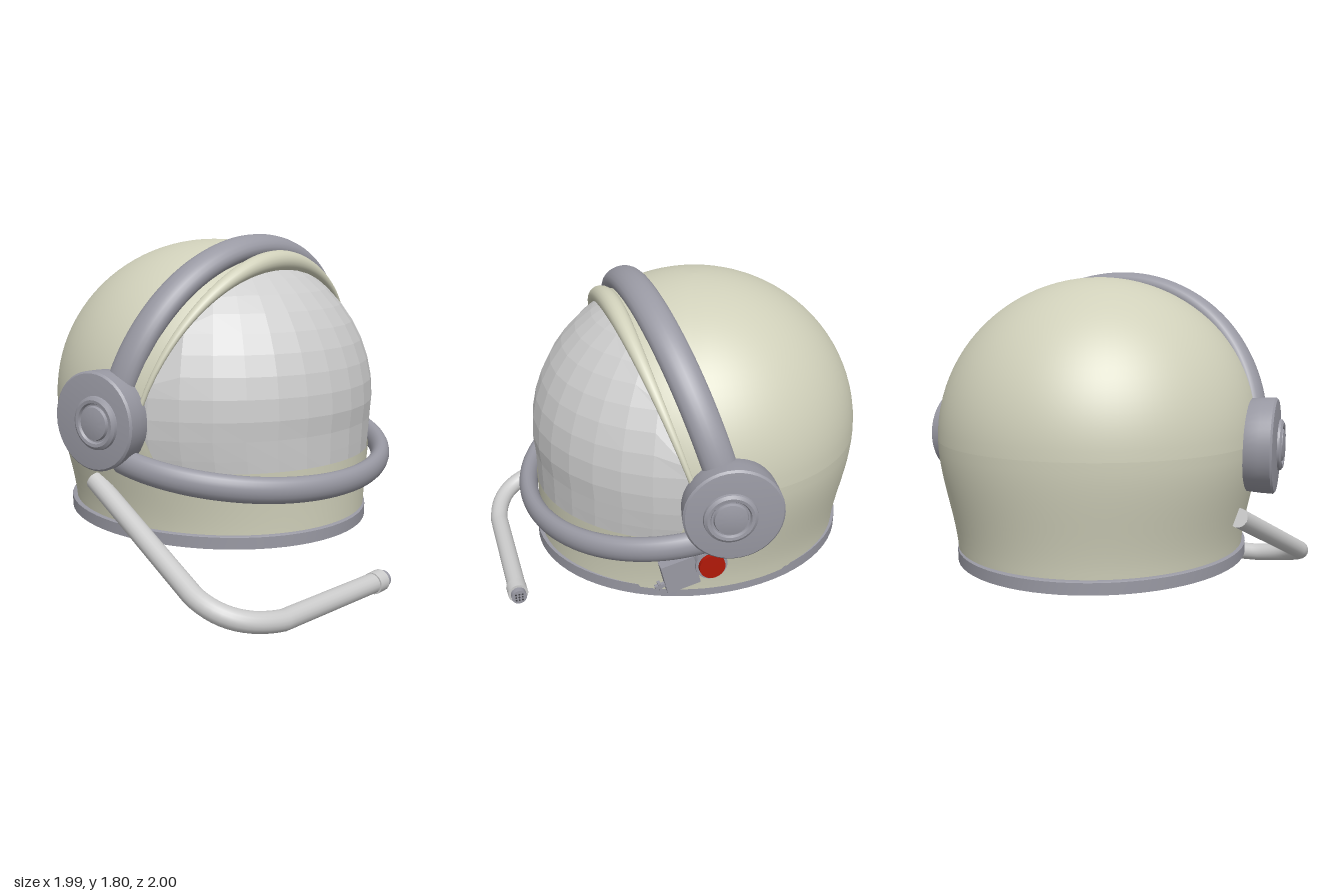
import * as THREE from 'three';
import { toCreasedNormals } from 'three/addons/utils/BufferGeometryUtils.js';

const mat = (color, extra = {}) => new THREE.MeshStandardMaterial({ color, ...extra });
const cream = mat(0xd0d0ba, { side: THREE.DoubleSide });
const grey = mat(0x9999a3);
const dark = mat(0x444448);
const pale = mat(0xcccccc);
const glass = mat(0xcccccc, { flatShading: true, side: THREE.DoubleSide });
const red = mat(0xb01808);

const V = (x, y, z) => new THREE.Vector3(x, y, z);
const lerp = THREE.MathUtils.lerp, smooth = THREE.MathUtils.smoothstep;

function add(parent, name, geometry, material, pos = [0, 0, 0], rot = [0, 0, 0]) {
  const mesh = new THREE.Mesh(geometry, material);
  mesh.name = name;
  mesh.position.set(...pos);
  mesh.rotation.set(...rot);
  parent.add(mesh);
  return mesh;
}

// Surface from rows of points fn(u, v); closed joins the last column to the first
function grid(nu, nv, fn, closed) {
  const cols = closed ? nu : nu + 1, pos = [], idx = [];
  for (let j = 0; j <= nv; j++)
    for (let i = 0; i < cols; i++) pos.push(...fn(i / nu, j / nv));
  for (let j = 0; j < nv; j++)
    for (let i = 0; i < nu; i++) {
      const a = j * cols + i, b = j * cols + (i + 1) % cols;
      idx.push(a, b, a + cols, b, b + cols, a + cols);
    }
  const g = new THREE.BufferGeometry();
  g.setAttribute('position', new THREE.Float32BufferAttribute(pos, 3));
  g.setIndex(idx);
  g.computeVertexNormals();
  return g;
}

// Oval bar along path(t): half sizes radial(t) in the bend and wide(t) along the axis
function bar(path, axis, radial, wide) {
  return grid(20, 64, (u, v) => {
    const tangent = path(v + 0.002).sub(path(v - 0.002)).normalize();
    const out = axis.clone().cross(tangent).normalize(), a = u * Math.PI * 2;
    return path(v).addScaledVector(out, radial(v) * Math.cos(a))
      .addScaledVector(axis, wide(v) * Math.sin(a)).toArray();
  }, true);
}

// Dome: ellipsoid about (0, Y0, Z0), cut at the front by a leaning rim plane
const Y0 = 0.93, Z0 = -0.12, RX = 0.855, RY = 0.84, RZ = 0.88;
const dome = (phi, e, rx = RX, ry = RY, rz = RZ) =>
  [rx * Math.sin(phi) * Math.cos(e), Y0 + ry * Math.sin(e), Z0 + rz * Math.cos(phi) * Math.cos(e)];

// Wall below the dome, narrowing to the neck
function wall(phi, y, inset = 0) {
  const t = smooth(y, 0.3, Y0);
  return [(lerp(0.755, RX, t) - inset) * Math.sin(phi), y,
    lerp(-0.09, Z0, t) + (lerp(0.84, RZ, t) - inset) * Math.cos(phi)];
}

// Elevation at which the column at azimuth phi meets the rim plane
function rimAngle(phi) {
  const c = RZ * Math.cos(phi);
  if (c < 0.26) return 0;
  return Math.max(0, Math.acos(0.26 / Math.hypot(c, 0.27)) - Math.atan2(0.27, c));
}

function buildShell(g) {
  add(g, 'shellDome', grid(96, 24, (u, v) => {
    const phi = (u * 2 - 1) * Math.PI;
    return dome(phi, lerp(rimAngle(phi), Math.PI / 2, v));
  }, true), cream);

  // Collar: high at the back, low under the visor
  add(g, 'shellCollar', grid(96, 12, (u, v) => {
    const phi = (u * 2 - 1) * Math.PI;
    const top = lerp(Y0, 0.675, smooth(Math.cos(phi), 0.28, 0.4));
    return wall(phi, lerp(0.34, top, v));
  }, true), cream);

  // Rolled lip on the visor opening, thick at the brow and thin at the sides
  const swell = t => Math.sin(THREE.MathUtils.clamp(t, 0, 1) * Math.PI);
  add(g, 'shellLip', bar(t => {
    const phi = (1 - t * 2) * 1.25, p = dome(phi, rimAngle(phi)), k = swell(t);
    return V(p[0], p[1] + 0.035 * k, p[2] - 0.03 * k);
  }, V(0, -0.3, 0.954), t => 0.012 + 0.042 * swell(t) ** 1.5, t => 0.012 + 0.042 * swell(t)), cream);

  // Neck ring, open in the middle
  const profile = [[0.95, 0.36], [0.8, 0.36], [0.79, 0.335], [0.84, 0.31], [0.9, 0.295],
    [1, 0.295], [1, 0.355], [0.99, 0.36], [0.95, 0.36]]
    .map(p => new THREE.Vector2(...p)).reverse();
  const ring = toCreasedNormals(new THREE.LatheGeometry(profile, 72), 0.7);
  ring.scale(0.765, 1, 0.865);
  add(g, 'neckRing', ring, mat(0x9999a3, { side: THREE.DoubleSide }), [-0.012, 0, -0.095]);
}

// Faceted visor tucked under the lip
function buildVisor(g) {
  const rows = 11, lower = 3;
  add(g, 'visor', grid(15, rows, (u, v) => {
    const phi = (u * 2 - 1) * 1.4, j = Math.round(v * rows);
    if (j < lower) return wall(phi, lerp(0.64, Y0, j / lower), 0.004);
    const e = (j - lower) / (rows - lower) * 1.04;
    return dome(phi, Math.min(e, rimAngle(phi) + 0.04), 0.848, 0.825, 0.885);
  }, false), glass);
}

// Flattened bars over the brow and across the chin
function buildBars(g) {
  add(g, 'browBar', bar(t => {
    const a = lerp(0.1, Math.PI - 0.1, t), y = Y0 + 0.808 * Math.sin(a);
    return V(0.83 * Math.cos(a), y, 0.035 + 0.275 * (y - 1.1));
  }, V(0, -0.265, 0.964), () => 0.06, () => 0.086), grey);
  add(g, 'chinBar', bar(t => {
    const a = Math.PI * (1 - t), z = 0.05 + 0.756 * Math.sin(a);
    return V(0.845 * Math.cos(a), 0.72 - 0.178 * (z - 0.05), z);
  }, V(0, 0.984, 0.175), () => 0.05, () => 0.067), grey);
}

// Ear pods with a ringed knob
function buildEar(g, side) {
  const ear = new THREE.Group();
  ear.name = side > 0 ? 'leftEar' : 'rightEar';
  ear.position.set(side * 0.86, side > 0 ? 0.89 : 0.915, side > 0 ? -0.015 : -0.045);
  ear.rotation.y = side > 0 ? -0.21 : 0.13;
  const lathe = pts => toCreasedNormals(
    new THREE.LatheGeometry(pts.map(p => new THREE.Vector2(...p)), 40), 0.6);
  const out = [0, 0, -side * Math.PI / 2];
  add(ear, 'earPod', lathe([[0, -0.11], [0.19, -0.11], [0.225, -0.09], [0.24, -0.05],
    [0.245, 0.02], [0.247, 0.08], [0.237, 0.09], [0.15, 0.1], [0, 0.1]]), grey, [0, 0, 0], out);
  add(ear, 'earKnob', lathe([[0.135, 0.09], [0.13, 0.112], [0.115, 0.122], [0.1, 0.12],
    [0.093, 0.108], [0.085, 0.108], [0.08, 0.122], [0.05, 0.128], [0, 0.13]]), grey,
  [0, 0, side > 0 ? 0.02 : 0.035], out);
  g.add(ear);
}

// Small control box with a red button on the left side
function buildControl(g) {
  const control = new THREE.Group();
  control.name = 'sideControl';
  control.position.set(0.762, 0.49, 0.215);
  control.rotation.set(0.23, -0.04, 0, 'YXZ');
  add(control, 'controlBox', new THREE.BoxGeometry(0.06, 0.165, 0.175), grey);
  add(control, 'latchStem', new THREE.BoxGeometry(0.02, 0.02, 0.06), grey, [0, -0.04, 0.11]);
  add(control, 'latchTip', new THREE.BoxGeometry(0.03, 0.045, 0.015), grey, [0, -0.04, 0.115]);
  g.add(control);
  const button = new THREE.Group();
  button.name = 'button';
  button.position.set(0.785, 0.535, 0.06);
  button.rotation.y = -0.1;
  const lay = [0, 0, -Math.PI / 2];
  add(button, 'buttonHousing', new THREE.CylinderGeometry(0.082, 0.088, 0.09, 32), grey, [-0.015, 0, 0], lay);
  add(button, 'redButton', new THREE.CylinderGeometry(0.066, 0.068, 0.03, 32), red, [0.035, 0, 0], lay);
  g.add(button);
}

// Small disc on a stalk inside the visor
function buildInnerDisc(g) {
  const inner = new THREE.Group();
  inner.name = 'innerDisc';
  inner.position.set(-0.47, 0.9, 0.32);
  inner.rotation.y = Math.PI * 0.75;
  add(inner, 'disc', new THREE.CylinderGeometry(0.1, 0.1, 0.02, 28), pale, [0, 0, 0], [Math.PI / 2, 0, 0]);
  add(inner, 'discStalk', new THREE.BoxGeometry(0.3, 0.025, 0.02), grey, [0.22, 0, 0]);
  g.add(inner);
}

// Microphone boom from the right side round to the front
function buildMicrophone(g) {
  const start = V(-0.8, 0.56, -0.2), bend = V(-0.935, 0.205, 0.63), turn = V(-0.64, 0.078, 0.92);
  const path = new THREE.CurvePath();
  path.add(new THREE.LineCurve3(start, bend));
  path.add(new THREE.QuadraticBezierCurve3(bend, V(-0.96, 0.12, 0.88), turn));
  path.add(new THREE.LineCurve3(turn, V(0.06, 0.06, 0.937)));
  add(g, 'microphoneBoom', new THREE.TubeGeometry(path, 60, 0.051, 18), pale);
  const cap = add(g, 'boomEnd', new THREE.CircleGeometry(0.051, 18), pale, start.toArray());
  cap.lookAt(start.clone().multiplyScalar(2).sub(bend));
  const lay = [0, 0, -Math.PI / 2];
  add(g, 'microphoneCollar', new THREE.CylinderGeometry(0.056, 0.056, 0.07, 24), pale, [0.08, 0.06, 0.94], lay);
  add(g, 'microphoneTip', new THREE.CylinderGeometry(0.042, 0.042, 0.04, 24), grey, [0.13, 0.06, 0.94], lay);
  for (let i = 0; i < 9; i++)
    add(g, 'microphoneHole', new THREE.CylinderGeometry(0.005, 0.005, 0.004, 8), dark,
      [0.151, 0.06 + (i % 3 - 1) * 0.018, 0.94 + (Math.floor(i / 3) - 1) * 0.018], lay);
}

export function createModel() {
  const g = new THREE.Group();
  g.name = 'helmet';
  buildShell(g);
  buildVisor(g);
  buildBars(g);
  for (const side of [1, -1]) buildEar(g, side);
  buildControl(g);
  buildInnerDisc(g);
  buildMicrophone(g);
  return g;
}
